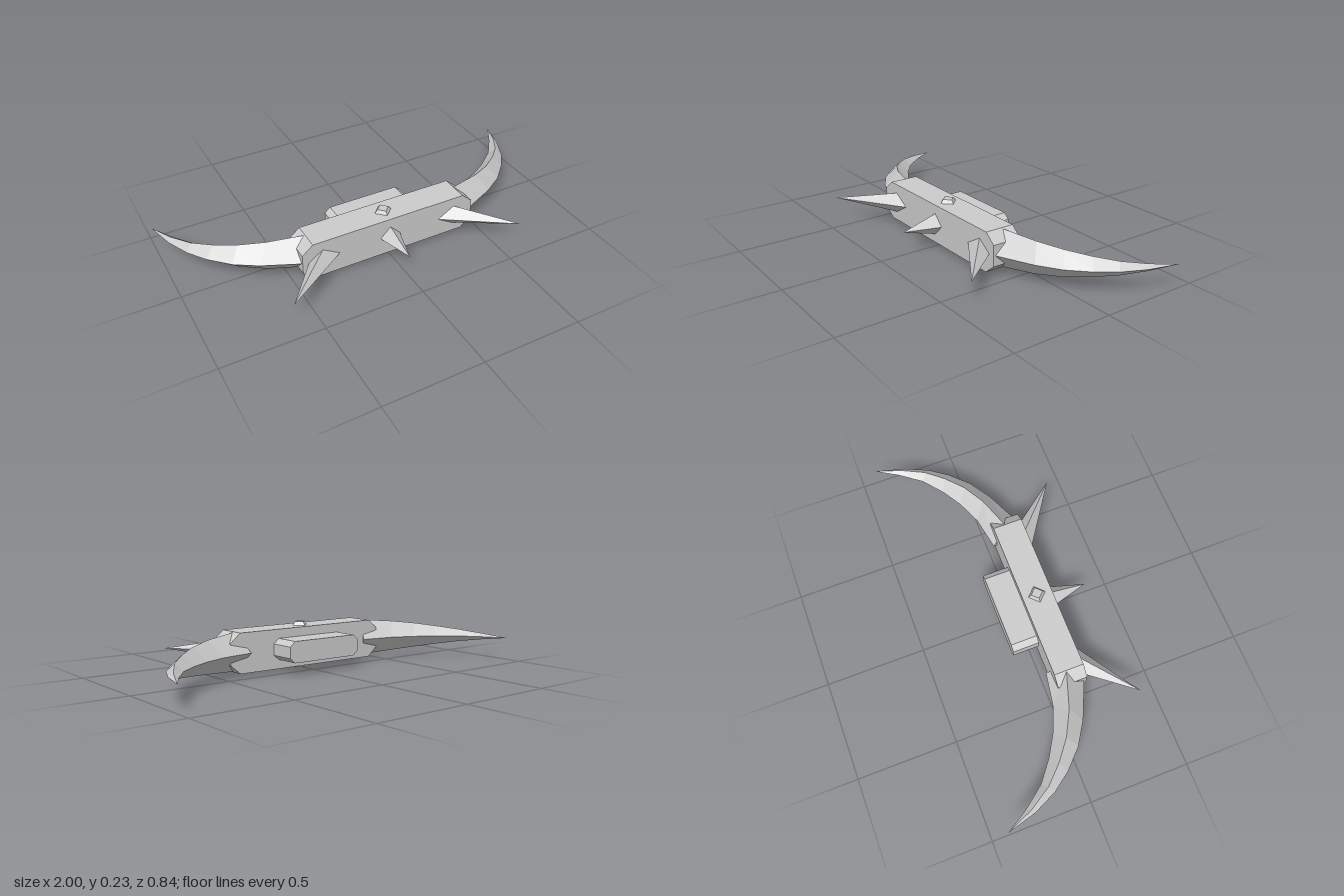
import * as THREE from 'three';

const MID = 0.1165; // height of the symmetry plane

// Flat-faced surface through four-cornered rings, ending in a point.
// Each ring runs counter-clockwise as seen from the tip; the first ring is capped.
function taper(rings, tip) {
  const p = [];
  const tri = (...pts) => pts.forEach(v => p.push(...v));
  rings.forEach((r, i) => {
    const next = rings[i + 1];
    for (let j = 0; j < 4; j++) {
      const k = (j + 1) % 4;
      if (next) {
        tri(r[j], r[k], next[k]);
        tri(r[j], next[k], next[j]);
      } else {
        tri(r[j], r[k], tip);
      }
    }
  });
  const b = rings[0];
  tri(b[0], b[2], b[1]);
  tri(b[0], b[3], b[2]);
  const g = new THREE.BufferGeometry();
  g.setAttribute('position', new THREE.Float32BufferAttribute(p, 3));
  g.computeVertexNormals();
  return g;
}

// Mirror a ring across x = 0 and keep its faces pointing outwards
function side(ring, s) {
  const out = ring.map(([x, y, z]) => [x * s, y, z]);
  return s < 0 ? out.reverse() : out;
}

// Box with chamfered ends, from z0 to z1
function chamferedBlock(w, h, cx, cy, z0, z1) {
  const shape = new THREE.Shape([
    [w - cx, -h], [w, -h + cy], [w, h - cy], [w - cx, h],
    [-w + cx, h], [-w, h - cy], [-w, -h + cy], [-w + cx, -h],
  ].map(([x, y]) => new THREE.Vector2(x, y)));
  const g = new THREE.ExtrudeGeometry(shape, { depth: z1 - z0, bevelEnabled: false });
  return g.translate(0, MID, z0);
}

export function createModel() {
  const model = new THREE.Group();
  const metal = new THREE.MeshStandardMaterial({ color: 0xcccccc });
  metal.name = 'grey metal';
  metal.flatShading = true;
  const add = (name, geometry) => {
    const m = new THREE.Mesh(geometry, metal);
    m.name = name;
    model.add(m);
    return m;
  };

  // Main bar and the smaller block behind it
  add('body', chamferedBlock(0.465, 0.0985, 0.055, 0.046, 0.04, 0.19));
  add('backBlock', chamferedBlock(0.215, 0.053, 0.03, 0.025, -0.093, 0.05));

  // Diamond studs above and below
  for (const s of [1, -1]) {
    const stud = add(s > 0 ? 'topStud' : 'bottomStud',
      new THREE.CylinderGeometry(0.03, 0.046, 0.02, 4));
    stud.position.set(0, MID + s * 0.1065, 0.113);
    if (s < 0) stud.rotation.x = Math.PI;
  }

  // Front spikes
  const spikeRing = (x0, xm, x1, h) => [
    [x1, MID, 0.185], [xm, MID + h, 0.185], [x0, MID, 0.185], [xm, MID - h, 0.185],
  ];
  add('centreSpike', taper([spikeRing(-0.055, 0, 0.055, 0.055)], [0, MID, 0.375]));
  for (const s of [1, -1]) {
    add(s > 0 ? 'leftSpike' : 'rightSpike',
      taper([side(spikeRing(0.265, 0.355, 0.43, 0.053), s)], [0.61 * s, MID, 0.416]));
  }

  // Curved horns: inner x, inner z, outer x, outer z, half height
  const sections = [
    [0.36, 0.02, 0.44, 0.19, 0.096],
    [0.53, -0.01, 0.64, 0.10, 0.08],
    [0.65, -0.06, 0.75, 0.03, 0.066],
    [0.75, -0.12, 0.84, -0.06, 0.05],
    [0.85, -0.20, 0.905, -0.15, 0.034],
    [0.93, -0.305, 0.96, -0.27, 0.017],
  ];
  const hornRings = sections.map(([ix, iz, ox, oz, h]) => {
    const x = (ix + ox) / 2, z = (iz + oz) / 2;
    return [[ix, MID, iz], [x, MID + h, z], [ox, MID, oz], [x, MID - h, z]];
  });
  for (const s of [1, -1]) {
    add(s > 0 ? 'leftHorn' : 'rightHorn',
      taper(hornRings.map(r => side(r, s)), [s, MID, -0.42]));
  }

  return model;
}
